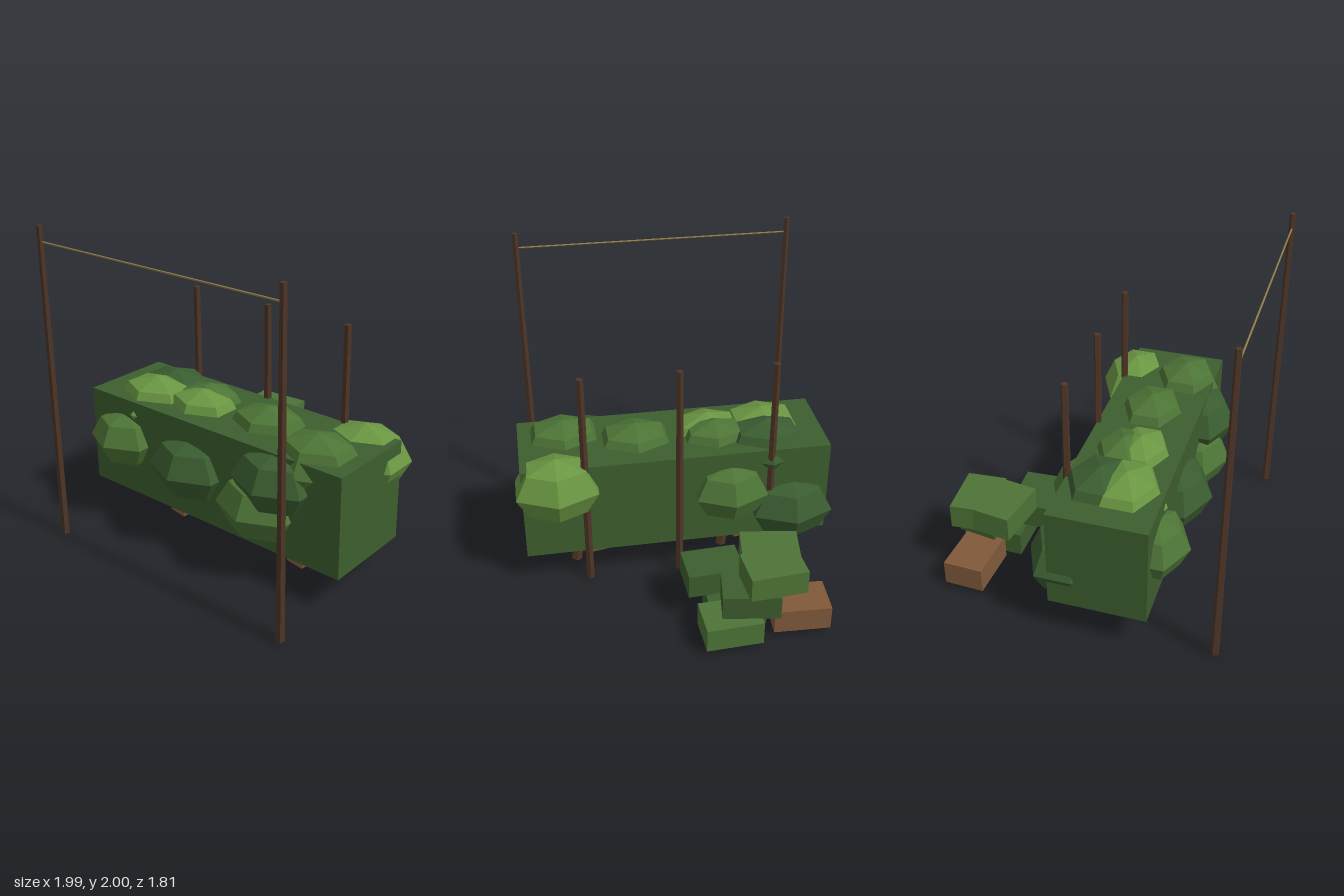
import * as THREE from 'three';

const mat = (color) => new THREE.MeshStandardMaterial({ color, flatShading: true });
const M = {
  hedge: mat(0x3d5e2e), dark: mat(0x3a5c30), mid: mat(0x4d7436), light: mat(0x6a9642),
  bark: mat(0x4f3526), timber: mat(0x80593a), rope: mat(0x8f7a48),
};

export function createModel() {
  const model = new THREE.Group();

  const add = (name, geometry, material, x = 0, y = 0, z = 0) => {
    const mesh = new THREE.Mesh(geometry, material);
    mesh.name = name;
    mesh.position.set(x, y, z);
    model.add(mesh);
    return mesh;
  };

  // Rod or beam running between two points
  const span = (name, geometry, material, a, b) => {
    const from = new THREE.Vector3(...a), to = new THREE.Vector3(...b);
    const dir = to.clone().sub(from);
    const mesh = add(name, geometry(dir.length()), material);
    mesh.position.copy(from).add(to).multiplyScalar(0.5);
    mesh.quaternion.setFromUnitVectors(new THREE.Vector3(0, 1, 0), dir.normalize());
    return mesh;
  };
  const rod = (r0, r1) => (h) => new THREE.CylinderGeometry(r0, r1, h, 5).rotateY(Math.PI);
  const beam = (w, d) => (h) => new THREE.BoxGeometry(w, h, d);

  // Hedge body
  add('hedgeBody', new THREE.BoxGeometry(1.935, 0.63, 0.59), M.hedge, -0.012, 0.545, 0.195);

  // Leaf clumps: position, radii, shade
  const clump = new THREE.SphereGeometry(1, 6, 4).rotateY(Math.PI / 6);
  const clumps = {
    topClump: [
      [-0.61, 0.77, 0.105, 0.295, 0.2, 0.24, M.dark],
      [-0.615, 0.77, 0.265, 0.298, 0.2, 0.24, M.light],
      [-0.28, 0.77, 0.15, 0.262, 0.2, 0.205, M.mid],
      [-0.25, 0.77, 0.245, 0.277, 0.2, 0.21, M.light],
      [0.22, 0.77, 0.19, 0.29, 0.2, 0.23, M.mid],
      [0.665, 0.77, 0.305, 0.29, 0.2, 0.235, M.mid],
    ],
    frontClump: [
      [-0.713, 0.585, 0.465, 0.252, 0.176, 0.205, M.mid],
      [-0.16, 0.545, 0.45, 0.289, 0.195, 0.225, M.dark],
      [0.375, 0.468, 0.45, 0.289, 0.194, 0.225, M.mid],
      [0.49, 0.675, 0.45, 0.286, 0.188, 0.225, M.dark],
    ],
    backClump: [
      [-0.745, 0.41, -0.06, 0.292, 0.21, 0.225, M.dark],
      [-0.345, 0.58, -0.07, 0.26, 0.19, 0.21, M.mid],
      [0.74, 0.71, -0.06, 0.289, 0.21, 0.228, M.light],
    ],
  };
  for (const [name, list] of Object.entries(clumps)) {
    for (const [x, y, z, rx, ry, rz, m] of list) add(name, clump, m, x, y, z).scale.set(rx, ry, rz);
  }

  // Tall front posts with a line strung between them
  for (const x of [-0.885, 0.858]) span('frontPost', rod(0.019, 0.026), M.bark, [x, 0.01, 0.875], [x, 2, 0.875]);
  span('crossLine', rod(0.006, 0.006), M.rope, [-0.885, 1.905, 0.875], [0.858, 1.905, 0.875]);

  // Shorter back posts
  for (const x of [-0.6, -0.017, 0.566]) span('backPost', rod(0.022, 0.026), M.bark, [x, 0.01, -0.097], [x, 1.47, -0.097]);

  // Leaning trunks under the hedge
  for (const x of [-0.5, 0.472]) {
    span('timberTrunk', beam(0.115, 0.085), M.timber, [x, 0.01, 0.208], [x + 0.055, 0.36, 0.185]);
    span('barkTrunk', rod(0.028, 0.036), M.bark, [x + 0.168, 0.01, 0.108], [x + 0.105, 0.36, 0.15]);
  }

  // Stacked bales behind: x, layer, z, turn, shade
  const bale = new THREE.BoxGeometry(0.347, 0.155, 0.25);
  const bales = [
    [-0.65, 0, -0.703, -0.045, M.timber],
    [-0.21, 0, -0.778, 0.045, M.mid],
    [-0.27, 0, -0.608, 0, M.hedge],
    [-0.34, 1, -0.72, -0.15, M.hedge],
    [-0.157, 1, -0.468, 0.045, M.hedge],
    [-0.47, 2, -0.732, 0.077, M.mid],
    [-0.488, 2, -0.555, -0.15, M.mid],
  ];
  for (const [x, layer, z, turn, m] of bales) add('bale', bale, m, x, 0.108 + layer * 0.155, z).rotation.y = turn;

  return model;
}
